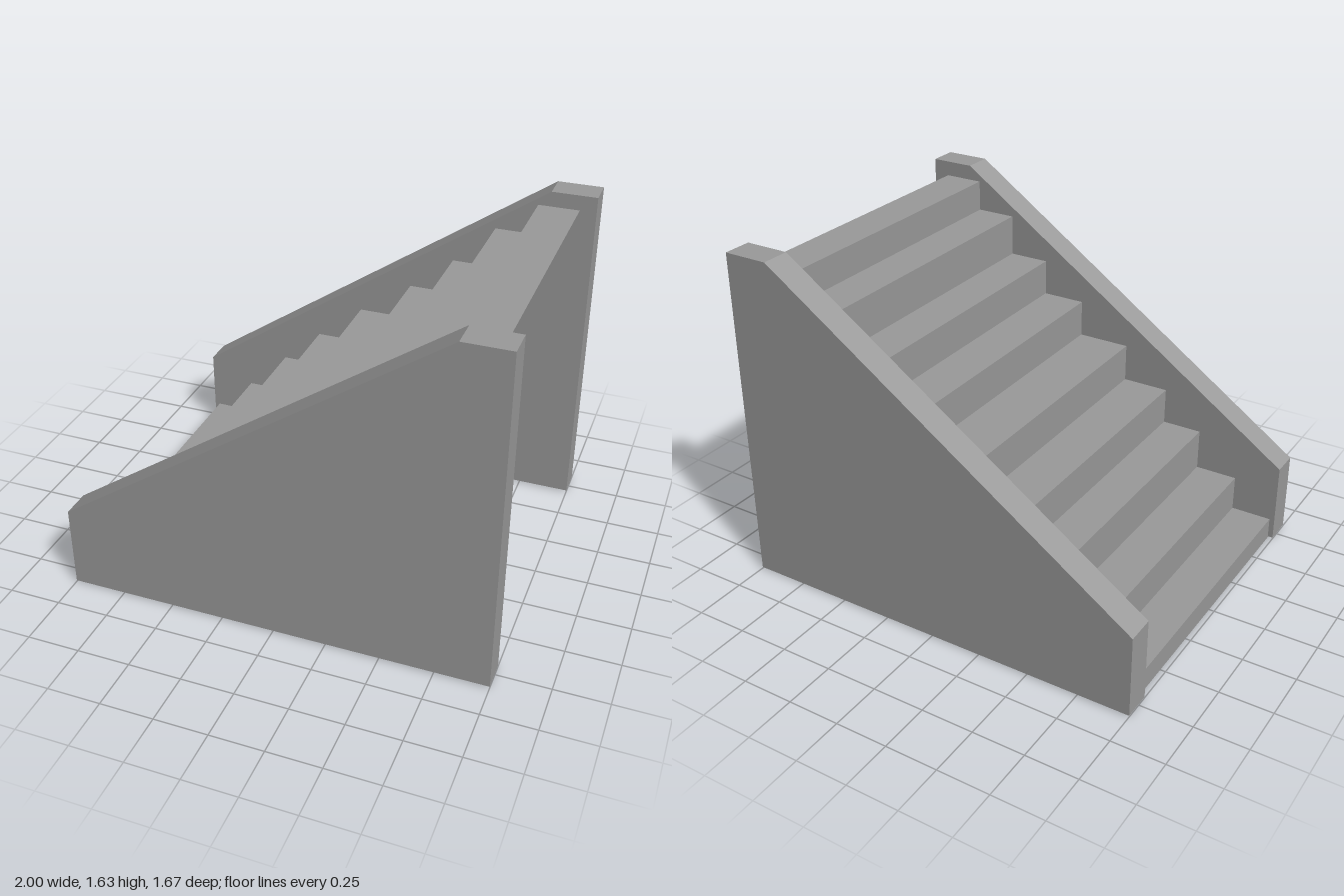
import * as THREE from 'three';

export function createModel() {
  const group = new THREE.Group();
  group.name = 'staircase';
  const color = 0x9a9a9a;
  const wallMaterial = new THREE.MeshStandardMaterial({ color, flatShading: true });
  const stepMaterial = new THREE.MeshStandardMaterial({ color, flatShading: true, side: THREE.DoubleSide });

  // Side walls: sloped profile with a short flat top at the high end
  const profile = new THREE.Shape([
    [-1, 0.006], [1, 0.006], [1, 1.63], [0.785, 1.63], [-1, 0.402],
  ].map(([x, y]) => new THREE.Vector2(x, y)));
  const inner = 0.697;
  const thickness = 0.138;
  const wallGeometry = new THREE.ExtrudeGeometry(profile, { depth: thickness, bevelEnabled: false });
  for (const [name, z] of [['frontWall', inner], ['backWall', -inner - thickness]]) {
    const wall = new THREE.Mesh(wallGeometry, wallMaterial);
    wall.name = name;
    wall.position.z = z;
    group.add(wall);
  }

  // Steps: a thin folded sheet of risers and treads, slightly uneven, let into the walls
  const edgesX = [-0.975, -0.775, -0.567, -0.37, -0.14, 0.12, 0.333, 0.533, 0.728, 0.922];
  const heights = [0, 0.108, 0.283, 0.487, 0.667, 0.853, 1.033, 1.208, 1.408, 1.557];
  const width = 1.47;
  const steps = new THREE.Group();
  steps.name = 'steps';
  for (let i = 0; i < 9; i++) {
    const rise = heights[i + 1] - heights[i];
    const run = edgesX[i + 1] - edgesX[i];

    const riser = new THREE.Mesh(new THREE.PlaneGeometry(width, rise).rotateY(-Math.PI / 2), stepMaterial);
    riser.name = `riser${i + 1}`;
    riser.position.set(edgesX[i], heights[i] + rise / 2, 0);

    const tread = new THREE.Mesh(new THREE.PlaneGeometry(run, width).rotateX(-Math.PI / 2), stepMaterial);
    tread.name = `tread${i + 1}`;
    tread.position.set(edgesX[i] + run / 2, heights[i + 1], 0);

    steps.add(riser, tread);
  }
  group.add(steps);
  return group;
}
